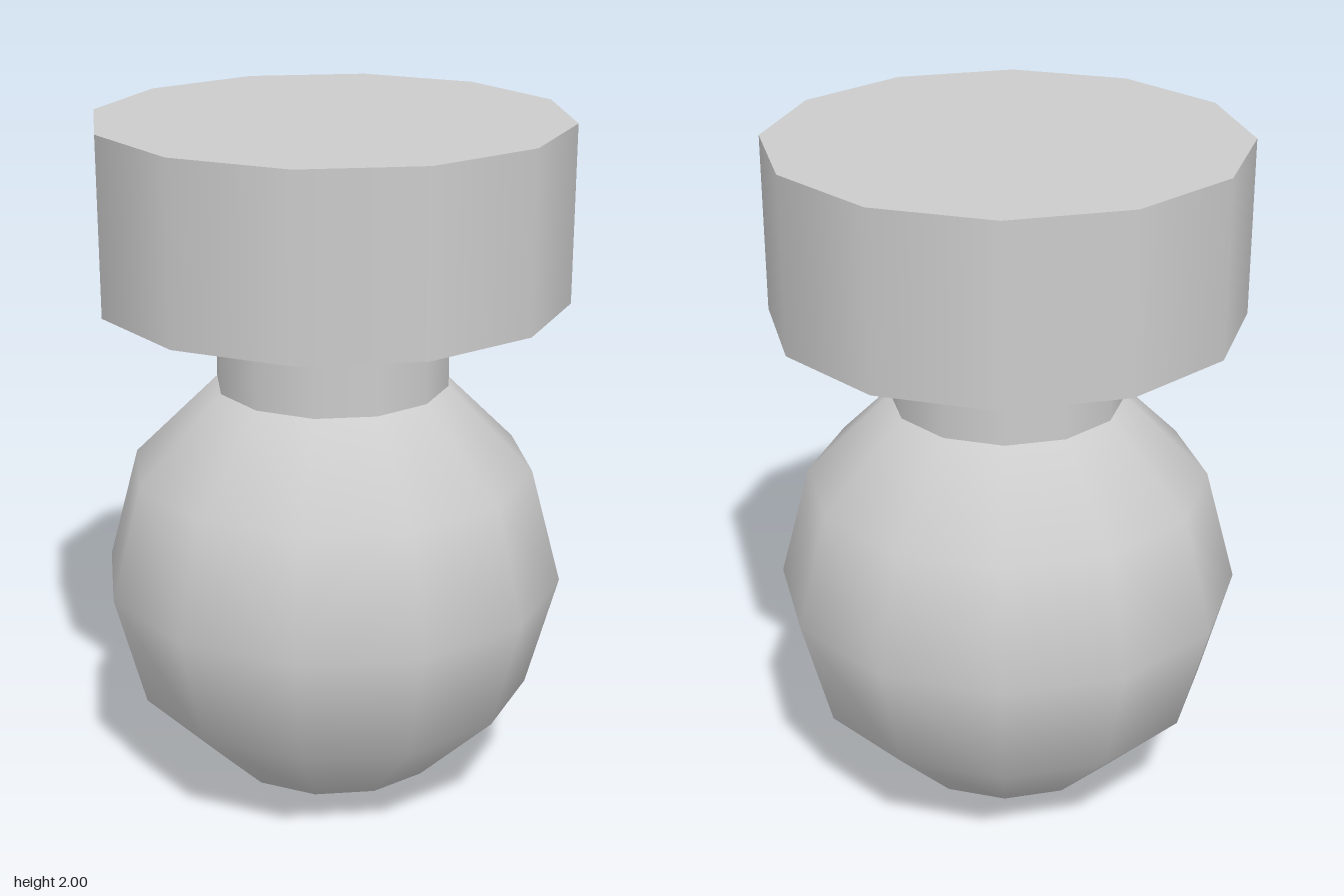
import * as THREE from 'three';

const SIDES = 12;
const R = 2 / 3; // shared radius of ball and cap
const STEP = Math.PI / 6; // angle between the ball's rings
const NECK_R = R * Math.sin(STEP);
const NECK_BOTTOM = R + R * Math.cos(STEP);
const CAP_BOTTOM = 1.5;
const TOP = 2;

export function createModel() {
  const group = new THREE.Group();
  group.name = 'knob';
  const material = new THREE.MeshStandardMaterial({ color: 0xcccccc });

  const add = (name, geometry, y) => {
    const mesh = new THREE.Mesh(geometry, material);
    mesh.name = name;
    mesh.position.y = y;
    group.add(mesh);
  };
  const drum = (name, radius, y0, y1, open) =>
    add(name, new THREE.CylinderGeometry(radius, radius, y1 - y0, SIDES, 1, open), (y0 + y1) / 2);

  // Ball, open at its top ring where the neck joins
  add('ball', new THREE.SphereGeometry(R, SIDES, 5, 0, Math.PI * 2, STEP, Math.PI - STEP), R);

  // Neck rising from the ball's top ring
  drum('neck', NECK_R, NECK_BOTTOM, CAP_BOTTOM, true);

  // Wide flat cap
  drum('cap', R, CAP_BOTTOM, TOP, false);

  return group;
}
